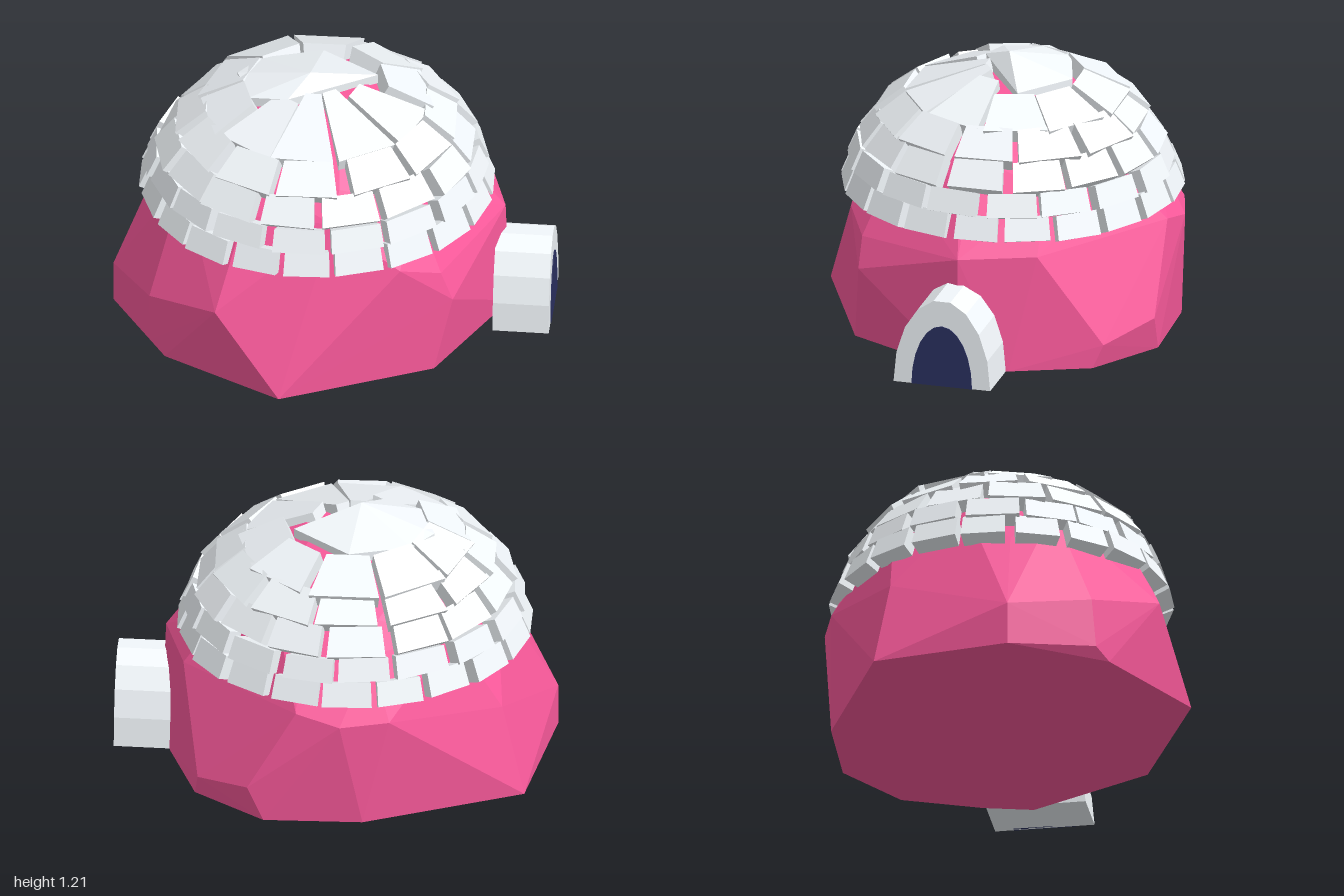
import * as THREE from 'three';
import { ConvexGeometry } from 'three/addons/geometries/ConvexGeometry.js';

const CX = -0.085, CZ = -0.01; // centre of the dome
const DEPTH = 0.96; // the dome is slightly shallower than wide
const mat = (color) => new THREE.MeshStandardMaterial({ color, flatShading: true });
const pts = (list) => list.map((p) => new THREE.Vector3(...p));

function add(parent, name, geometry, material) {
  const mesh = new THREE.Mesh(geometry, material);
  mesh.name = name;
  parent.add(mesh);
  return mesh;
}

// Box bent into a dome block: b and t are [radius, y] of its outer bottom and top
function blockGeometry(angle, width, b, t, thick) {
  const g = new THREE.BoxGeometry(1, 1, 1);
  const p = g.attributes.position;
  const len = Math.hypot(t[0] - b[0], t[1] - b[1]);
  const nr = (t[1] - b[1]) / len, ny = (b[0] - t[0]) / len;
  for (let i = 0; i < p.count; i++) {
    const end = p.getY(i) > 0 ? t : b;
    const depth = p.getZ(i) > 0 ? 0 : thick;
    const r = end[0] - nr * depth, y = end[1] - ny * depth;
    const a = angle + p.getX(i) * width;
    p.setXYZ(i, CX + r * Math.sin(a), y, CZ + DEPTH * r * Math.cos(a));
  }
  g.computeVertexNormals();
  return g;
}

// Half-ellipse outline for the doorway
function archShape(halfWidth, height, segments) {
  const s = new THREE.Shape();
  s.moveTo(halfWidth, 0);
  for (let i = 1; i <= segments; i++) {
    const a = (i / segments) * Math.PI;
    s.lineTo(halfWidth * Math.cos(a), height * Math.sin(a));
  }
  return s;
}

export function createModel() {
  const group = new THREE.Group();
  const pink = mat(0xfb5a9c), white = mat(0xf2f7fb), navy = mat(0x2a3060);
  let seed = 7;
  const rand = () => ((seed = (seed * 16807) % 2147483647) / 2147483647) - 0.5;

  // Faceted body: irregular foot, shoulder corners, then a rounded top
  const body = pts([
    [-0.46, 0, 0.79], [0.28, 0, 0.72], [0.74, 0, 0.28], [0.76, 0, 0.05], [0.74, 0, -0.33],
    [0.5, 0, -0.64], [0.07, 0, -0.77], [-0.7, 0, -0.71], [-1, 0, -0.15], [-0.88, 0, 0.34],
    [-0.93, 0.05, 0.27], [-1, 0.2, -0.15], [-0.93, 0.28, 0.25], [-0.71, 0.39, 0.6],
    [0.37, 0.36, 0.71], [0.32, 0.5, 0.69], [0.12, 0.57, 0.73], [-0.62, 0.59, 0.5],
    [0.72, 0.53, 0.28], [0.73, 0.54, -0.08], [0.74, 0.11, -0.38], [0.57, 0.17, -0.62],
    [0.36, 0.57, -0.69], [0.18, 0.52, -0.78], [-0.05, 0.52, -0.79], [-0.62, 0.42, -0.62],
    [-0.8, 0.62, -0.1], [-0.77, 0.62, 0.2],
  ]);
  for (const [r, y, n] of [[0.66, 0.8, 10], [0.56, 0.92, 10], [0.43, 1.01, 9], [0.24, 1.1, 7]]) {
    for (let i = 0; i < n; i++) {
      const a = ((i + y) / n) * Math.PI * 2;
      body.push(new THREE.Vector3(CX + r * Math.sin(a), y, CZ + DEPTH * r * Math.cos(a)));
    }
  }
  add(group, 'body', new ConvexGeometry(body), pink);

  // Courses of blocks: [count, bottom radius, bottom y, top radius, top y, turn]
  const courses = [
    [20, 0.81, 0.61, 0.765, 0.715, 0.03],
    [17, 0.775, 0.715, 0.73, 0.815, 0.02],
    [15, 0.73, 0.825, 0.64, 0.935, 0.0],
    [12, 0.65, 0.94, 0.51, 1.045, 0.24],
    [10, 0.53, 1.035, 0.34, 1.135, 0.28],
  ];
  courses.forEach(([n, br, by, tr, ty, turn], row) => {
    const course = new THREE.Group();
    course.name = 'blockCourse' + (row + 1);
    for (let i = 0; i < n; i++) {
      const step = (Math.PI * 2) / n;
      const angle = turn + i * step + rand() * step * 0.1;
      const width = step * (row === 4 ? 0.93 : 0.85 + rand() * 0.1);
      const out = rand() * 0.02;
      let bottom = [br + out, by], top = [tr + out, ty];
      // Blocks of the last course reach further under the cap towards the front
      if (row === 4) {
        const r = Math.min(tr, 0.33 - 0.22 * Math.cos(angle));
        bottom = [br - 0.03 * Math.cos(angle), by];
        top = [r, ty + 0.12 * (tr - r)];
      }
      add(course, 'block', blockGeometry(angle, width, bottom, top, 0.075), white);
    }
    group.add(course);
  });

  // Low pointed cap
  const rim = [
    [-0.41, 1.125, 0.01], [-0.41, 1.12, -0.2], [-0.28, 1.12, -0.29], [0.01, 1.12, -0.28],
    [0.2, 1.13, -0.02], [-0.25, 1.15, 0.1],
  ];
  const cap = pts([[-0.12, 1.21, 0], ...rim, ...rim.map(([x, y, z]) => [x, y - 0.045, z])]);
  add(group, 'cap', new ConvexGeometry(cap), white);

  // Entrance tunnel with a dark doorway
  const entrance = new THREE.Group();
  entrance.name = 'entrance';
  add(entrance, 'tunnel', new THREE.ExtrudeGeometry(archShape(0.2275, 0.415, 9), { depth: 0.255, bevelEnabled: false }), white)
    .position.z = -0.255;
  add(entrance, 'doorway', new THREE.ExtrudeGeometry(archShape(0.142, 0.29, 12), { depth: 0.02, bevelEnabled: false }), navy)
    .position.z = -0.016;
  entrance.position.set(0.923, 0, 0.362);
  entrance.rotation.y = Math.atan2(0.945, 0.33);
  group.add(entrance);

  return group;
}
